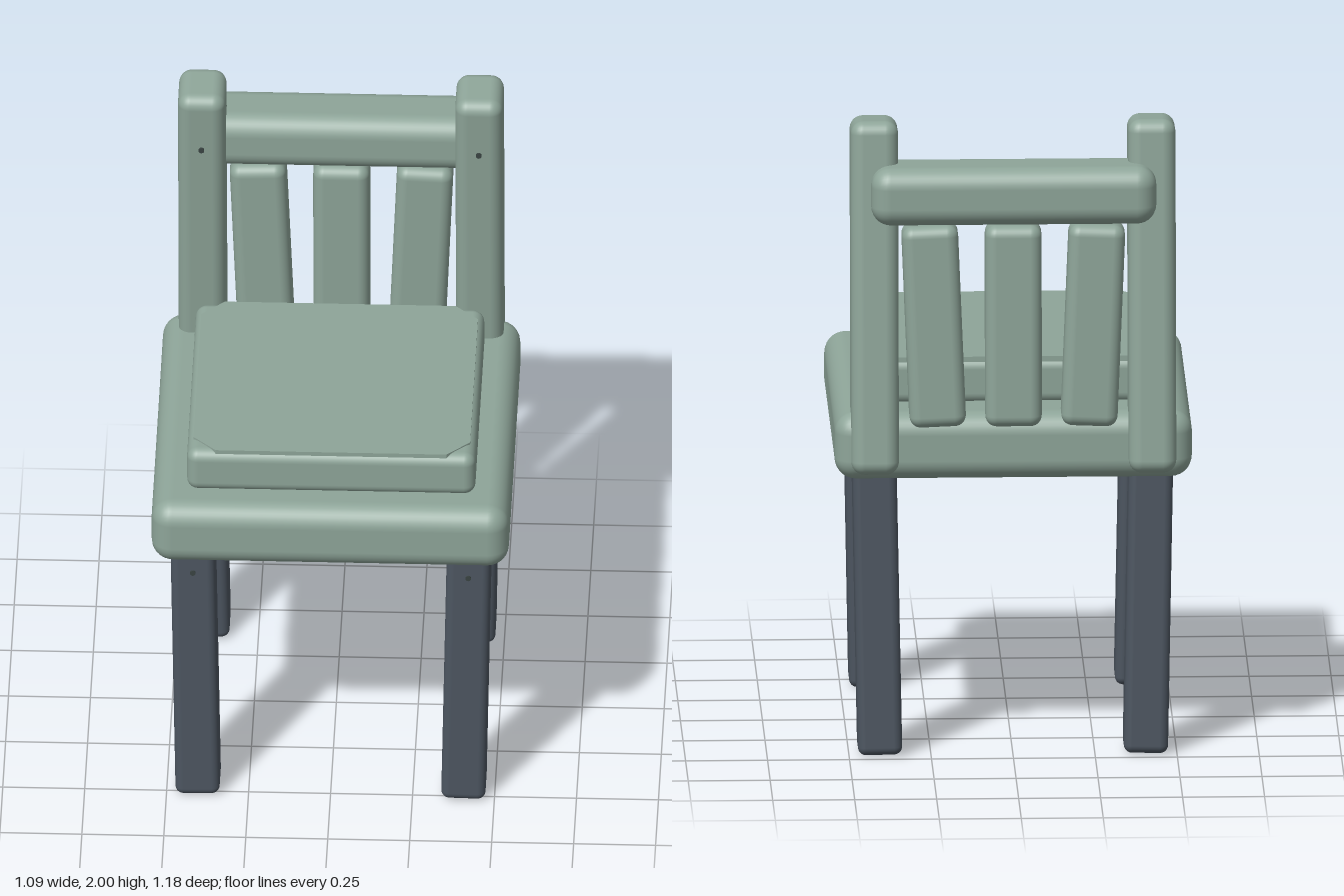
import * as THREE from 'three';
import { RoundedBoxGeometry } from 'three/addons/geometries/RoundedBoxGeometry.js';

export function createModel() {
  const chair = new THREE.Group();
  chair.name = 'chair';
  const green = new THREE.MeshStandardMaterial({ color: 0x8ea599 });
  const slate = new THREE.MeshStandardMaterial({ color: 0x4c5560 });
  const dark = new THREE.MeshStandardMaterial({ color: 0x3a4442 });

  const add = (name, geometry, material, x, y, z) => {
    const mesh = new THREE.Mesh(geometry, material);
    mesh.name = name;
    mesh.position.set(x, y, z);
    chair.add(mesh);
    return mesh;
  };

  // Rounded block given by its extents
  const block = (name, [x0, x1], [y0, y1], [z0, z1], r) =>
    add(name, new RoundedBoxGeometry(x1 - x0, y1 - y0, z1 - z0, 4, r), green,
      (x0 + x1) / 2, (y0 + y1) / 2, (z0 + z1) / 2);

  // Rounded beam whose axis runs from bottom to top
  const beam = (name, bottom, top, w, d, r, material) => {
    const a = new THREE.Vector3(...bottom), b = new THREE.Vector3(...top);
    const dir = b.clone().sub(a);
    const mid = a.add(b).multiplyScalar(0.5);
    const mesh = add(name, new RoundedBoxGeometry(w, dir.length(), d, 4, r), material, mid.x, mid.y, mid.z);
    mesh.quaternion.setFromUnitVectors(new THREE.Vector3(0, 1, 0), dir.normalize());
  };

  // Tiny peg showing on a front face
  const peg = (name, x, y, z) => {
    add(name, new THREE.CylinderGeometry(0.009, 0.009, 0.02, 10), dark, x, y, z).rotation.x = Math.PI / 2;
  };

  // Seat and cushion
  block('seat', [-0.545, 0.545], [0.88, 1.09], [-0.53, 0.59], 0.065);
  block('cushion', [-0.44, 0.44], [1.08, 1.225], [-0.36, 0.475], 0.035);

  // Thin cushion panel with cut corners
  const panel = new THREE.Shape();
  const [px, pz, cut] = [0.422, 0.408, 0.07];
  [[px, pz - cut], [px - cut, pz], [cut - px, pz], [-px, pz - cut],
    [-px, cut - pz], [cut - px, -pz], [px - cut, -pz], [px, cut - pz]]
    .forEach(([x, y], i) => (i ? panel.lineTo(x, y) : panel.moveTo(x, y)));
  panel.closePath();
  add('cushionPanel', new THREE.ExtrudeGeometry(panel, { depth: 0.02, bevelEnabled: false }), green, 0, 1.209, 0.056)
    .rotation.x = -Math.PI / 2;

  for (const s of [-1, 1]) {
    const side = s > 0 ? 'left' : 'right';
    // Legs, converging slightly downward and splayed front to back
    beam(side + 'FrontLeg', [s * 0.405, 0.005, 0.46], [s * 0.422, 0.92, 0.434], 0.135, 0.15, 0.025, slate);
    beam(side + 'BackLeg', [s * 0.405, 0.005, -0.405], [s * 0.422, 0.92, -0.379], 0.135, 0.15, 0.025, slate);
    peg(side + 'FrontLegPeg', s * 0.42, 0.81, 0.506);
    peg(side + 'BackLegPeg', s * 0.42, 0.81, -0.312);
    // Back post leaning forward
    beam(side + 'BackPost', [s * 0.423, 0.905, -0.492], [s * 0.423, 1.995, -0.403], 0.145, 0.182, 0.04, green);
    peg(side + 'PostPeg', s * 0.423, 1.8, -0.331);
  }

  // Top rail behind the posts
  block('topRail', [-0.435, 0.435], [1.69, 1.87], [-0.588, -0.378], 0.06);

  // Back slats, fanning outward at the top
  for (const i of [-1, 0, 1]) {
    beam('backSlat', [i * 0.23, 1.05, -0.482], [i * 0.256, 1.68, -0.472], 0.172, 0.13, 0.035, green);
  }

  return chair;
}
